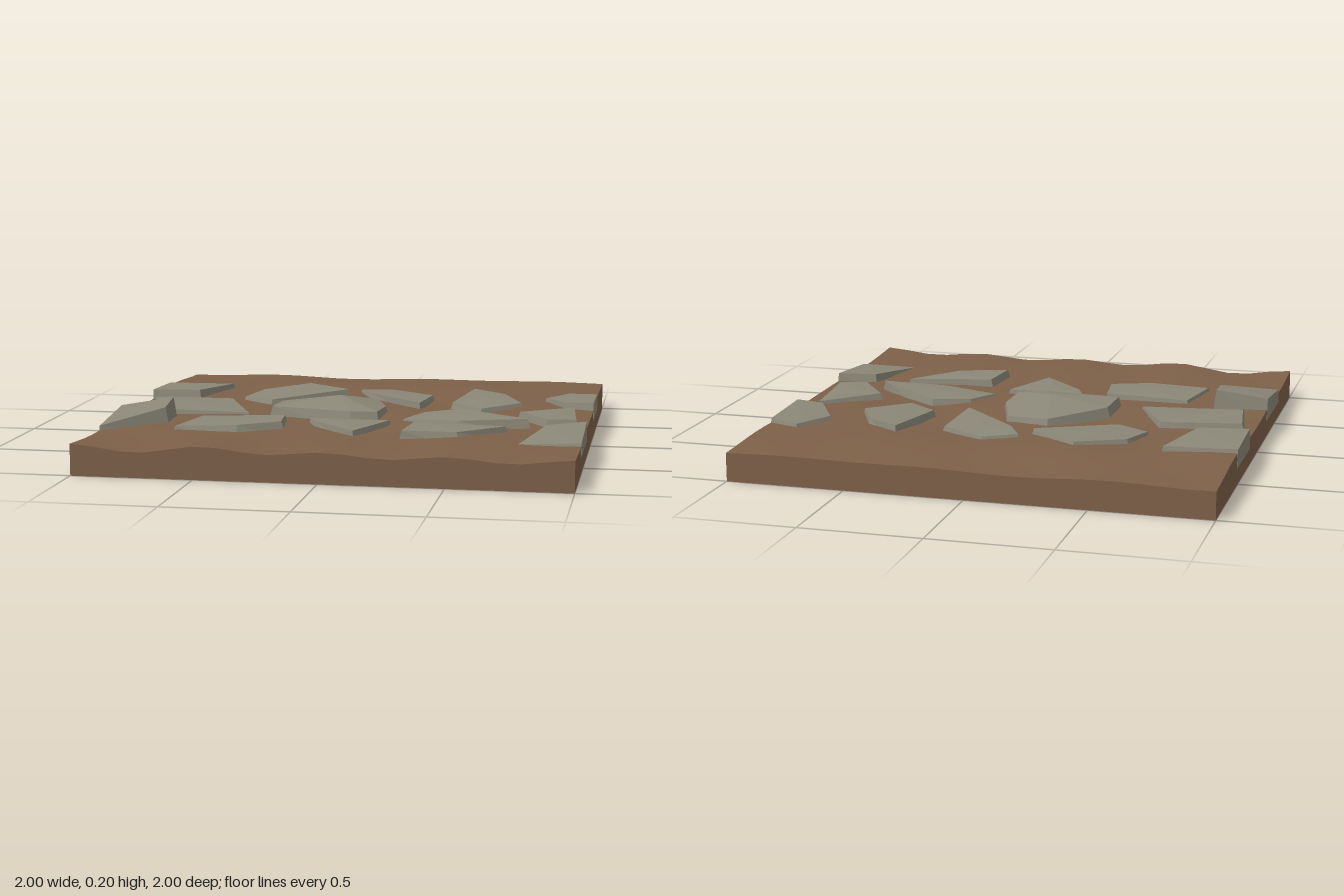
import * as THREE from 'three';

const soil = new THREE.MeshStandardMaterial({ color: 0x7d6049, side: THREE.DoubleSide });
const rock = new THREE.MeshStandardMaterial({ color: 0x8b8778, side: THREE.DoubleSide, flatShading: true });

// Height of the uneven ground at (x, z)
function groundHeight(x, z) {
  const ripple = 0.011 * Math.cos(4 * Math.PI * (x + 0.48)) * THREE.MathUtils.smoothstep(z, 0.5, 1);
  const backRise = 0.014 * Math.exp(-(((z + 0.65) / 0.25) ** 2));
  const lumps = 0.006 * Math.sin(5 * x + 2 * z + 1) * Math.cos(6 * z - 2 * x) + 0.004 * Math.sin(9 * x - 7 * z);
  return 0.117 + ripple + backRise + lumps;
}

function makeGeometry(positions, indices) {
  const g = new THREE.BufferGeometry();
  g.setAttribute('position', new THREE.Float32BufferAttribute(positions, 3));
  g.setIndex(indices);
  g.computeVertexNormals();
  return g;
}

// Wall from y = 0 up to the ground edge; toXZ places it on one side
function makeWall(name, toXZ) {
  const steps = 20, p = [], idx = [];
  for (let i = 0; i <= steps; i++) {
    const [x, z] = toXZ(-1 + (2 * i) / steps);
    p.push(x, 0, z, x, groundHeight(x, z), z);
    if (i < steps) {
      const a = 2 * i;
      idx.push(a, a + 2, a + 1, a + 1, a + 2, a + 3);
    }
  }
  const wall = new THREE.Mesh(makeGeometry(p, idx), soil);
  wall.name = name;
  return wall;
}

// Paving stone resting on the ground: tilted, slightly domed top and flared
// sides, open below. The outline runs clockwise as seen from above; stones
// reaching the tile edge are cut off flush with it.
function makeStone({ outline, lift = 0.024, dome = 0.004, tilt }, index) {
  const [tiltX, tiltZ] = tilt ?? [0.04 * Math.sin(2 * index), 0.04 * Math.cos(3 * index)];
  const n = outline.length;
  const cx = outline.reduce((s, p) => s + p[0], 0) / n;
  const cz = outline.reduce((s, p) => s + p[1], 0) / n;
  const y = groundHeight(cx, cz) + lift;
  const p = [], idx = [];
  outline.forEach(([x, z], i) => {
    const dx = x - cx, dz = z - cz;
    const flare = 1 + 0.025 / Math.hypot(dx, dz);
    const cut = Math.abs(x) === 1;
    const topX = cut ? x * 1.001 : x;
    const baseX = cut ? topX : THREE.MathUtils.clamp(cx + dx * flare, -1, 1);
    p.push(topX, y + tiltX * dx + tiltZ * dz, z);
    p.push(baseX, 0.07, cz + dz * flare);
    const a = 2 * i, b = 2 * ((i + 1) % n);
    idx.push(2 * n, b, a, a, b, a + 1, b, b + 1, a + 1);
  });
  p.push(cx, y + dome, cz);
  const stone = new THREE.Mesh(makeGeometry(p, idx), rock);
  stone.name = `pavingStone${index + 1}`;
  return stone;
}

const stones = [
  // back row
  { outline: [[-1, -0.51], [-0.7, -0.53], [-0.79, -0.25], [-1, -0.22]] },
  { outline: [[-0.34, -0.58], [-0.13, -0.42], [-0.44, -0.19], [-0.58, -0.27], [-0.53, -0.44]] },
  { outline: [[0.06, -0.55], [0.26, -0.42], [0.24, -0.13], [-0.02, -0.38], [-0.08, -0.49]] },
  { outline: [[0.44, -0.53], [0.59, -0.43], [0.68, -0.24], [0.52, -0.08], [0.38, -0.2]] },
  { outline: [[0.87, -0.56], [1, -0.52], [1, -0.22], [0.88, -0.23], [0.78, -0.4]] },
  // middle row
  { outline: [[-0.95, -0.1], [-0.61, -0.14], [-0.47, 0.15], [-0.91, 0.17]] },
  { outline: [[-0.14, -0.24], [0.04, -0.22], [0.11, 0], [0.1, 0.18], [-0.01, 0.21], [-0.36, 0.16], [-0.35, -0.02]], lift: 0.036, dome: 0.042 },
  { outline: [[0.44, -0.02], [0.75, 0.23], [0.46, 0.26], [0.22, 0.2], [0.29, 0.05]] },
  { outline: [[0.92, -0.17], [0.95, 0.17], [0.83, 0.2], [0.7, 0.02]] },
  // front row
  { outline: [[-1, 0.28], [-0.78, 0.24], [-0.77, 0.41], [-1, 0.6]], lift: 0.05, tilt: [0.14, -0.11] },
  { outline: [[-0.64, 0.29], [-0.28, 0.28], [-0.26, 0.45], [-0.43, 0.54], [-0.69, 0.55]] },
  { outline: [[-0.17, 0.27], [0.17, 0.28], [0.06, 0.55], [-0.13, 0.36]] },
  { outline: [[0.29, 0.38], [0.67, 0.35], [0.49, 0.55], [0.27, 0.59]] },
  { outline: [[0.84, 0.35], [1, 0.29], [1, 0.63], [0.75, 0.65]], tilt: [0.02, -0.09] },
];

export function createModel() {
  const model = new THREE.Group();
  model.name = 'stonePathTile';

  // Wavy ground surface
  const top = new THREE.PlaneGeometry(2, 2, 20, 20).rotateX(-Math.PI / 2);
  const pos = top.attributes.position;
  for (let i = 0; i < pos.count; i++) pos.setY(i, groundHeight(pos.getX(i), pos.getZ(i)));
  top.computeVertexNormals();
  const ground = new THREE.Mesh(top, soil);
  ground.name = 'groundSurface';

  // Paving stones
  const paving = new THREE.Group();
  paving.name = 'pavingStones';
  paving.add(...stones.map(makeStone));

  // Ground, edge walls and paving
  model.add(
    ground,
    makeWall('frontWall', (t) => [t, 1]),
    makeWall('backWall', (t) => [-t, -1]),
    makeWall('leftWall', (t) => [1, -t]),
    makeWall('rightWall', (t) => [-1, t]),
    paving,
  );
  return model;
}
